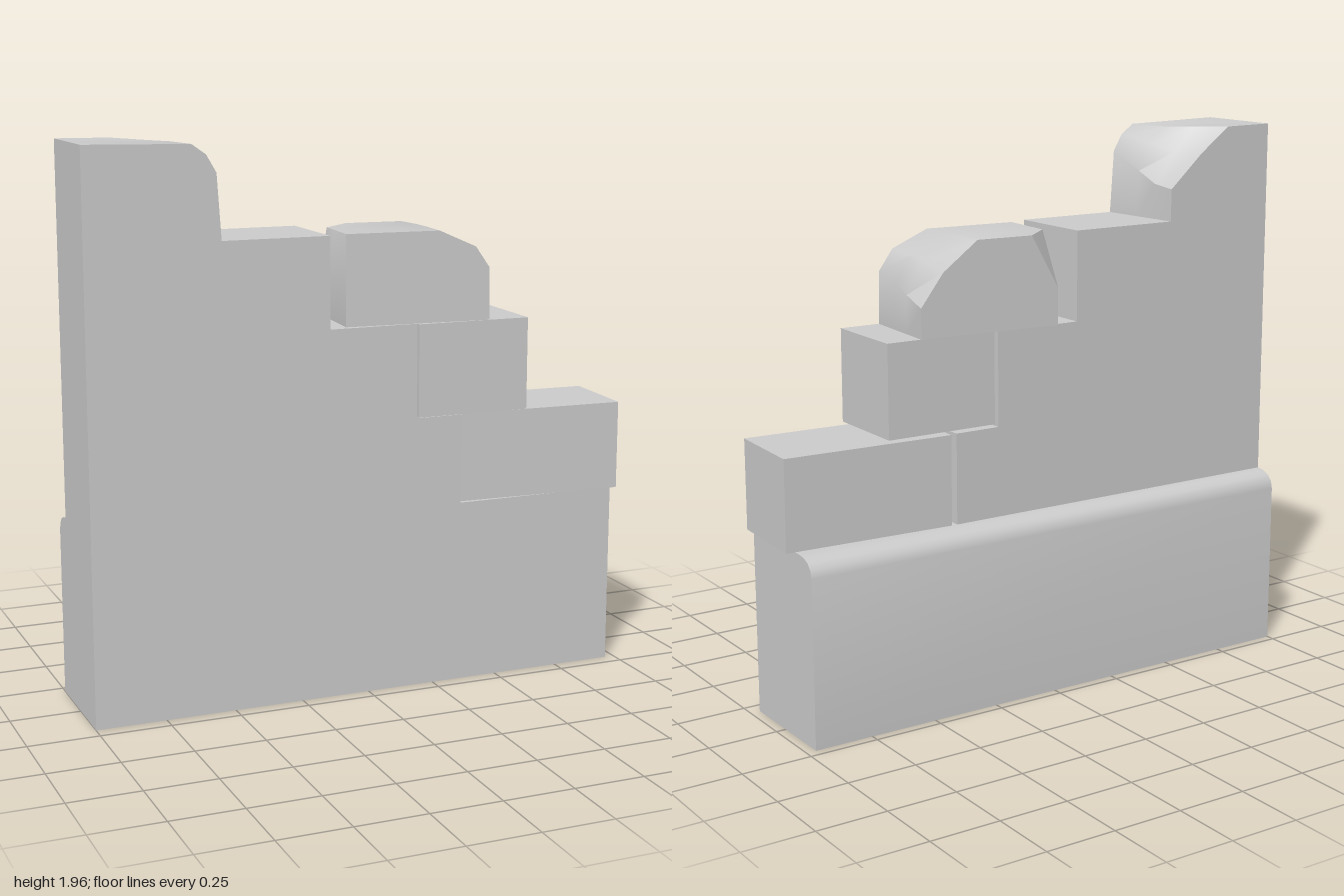
import * as THREE from 'three';
import { toCreasedNormals } from 'three/addons/utils/BufferGeometryUtils.js';

const material = new THREE.MeshStandardMaterial({ color: 0xcccccc });

function add(parent, name, geometry) {
  const mesh = new THREE.Mesh(geometry, material);
  mesh.name = name;
  parent.add(mesh);
  return mesh;
}

function extrude(points, depth) {
  const shape = new THREE.Shape(points.map(([x, y]) => new THREE.Vector2(x, y)));
  return new THREE.ExtrudeGeometry(shape, { depth, bevelEnabled: false });
}

// Solid through convex x-y sections, listed from front (+z) to back, points counter-clockwise
function loft(sections) {
  const pos = [];
  const put = (s, i) => pos.push(s.points[i][0], s.points[i][1], s.z);
  const n = sections[0].points.length;
  const first = sections[0], last = sections[sections.length - 1];
  for (let i = 1; i < n - 1; i++) {
    put(first, 0); put(first, i); put(first, i + 1);
    put(last, 0); put(last, i + 1); put(last, i);
  }
  for (let k = 0; k < sections.length - 1; k++) {
    const a = sections[k], b = sections[k + 1];
    for (let i = 0; i < n; i++) {
      const j = (i + 1) % n;
      put(a, i); put(b, i); put(b, j);
      put(a, i); put(b, j); put(a, j);
    }
  }
  const geometry = new THREE.BufferGeometry();
  geometry.setAttribute('position', new THREE.Float32BufferAttribute(pos, 3));
  return toCreasedNormals(geometry, 0.6);
}

function brick(parent, name, size, position, turn) {
  const mesh = add(parent, name, new THREE.BoxGeometry(...size));
  mesh.position.set(...position);
  mesh.rotation.y = turn;
}

export function createModel() {
  const model = new THREE.Group();
  model.name = 'brokenWall';
  const front = 0.197, back = -0.135;

  // Plinth with a rounded shoulder at the back, run along x
  const plinth = extrude([
    [-front, 0], [0.218, 0], [0.218, 0.595], [0.211, 0.622],
    [0.193, 0.643], [0.168, 0.654], [0.135, 0.658], [-front, 0.658],
  ], 1.965);
  plinth.rotateY(Math.PI / 2);
  plinth.translate(-1, 0, 0);
  add(model, 'plinth', toCreasedNormals(plinth, 0.6));

  // Stepped wall body
  const wall = extrude([
    [-1, 0.658], [0.355, 0.658], [0.355, 0.98], [0.185, 0.98],
    [0.185, 1.315], [-0.145, 1.315], [-0.145, 1.635], [-1, 1.635],
  ], front - back);
  wall.translate(0, 0, back);
  add(model, 'steppedWall', wall);

  // Top of the wall with its broken corner, wider at the back
  const topSection = (z, foot, ...chip) => ({
    z, points: [[-1, 1.635], [foot, 1.635], ...chip, [-1, 1.962]],
  });
  add(model, 'wallTop', loft([
    topSection(front, -0.53, [-0.545, 1.86], [-0.58, 1.92], [-0.63, 1.955]),
    topSection(0.05, -0.54, [-0.55, 1.80], [-0.60, 1.895], [-0.655, 1.955]),
    topSection(-0.04, -0.548, [-0.555, 1.76], [-0.64, 1.87], [-0.73, 1.957]),
    topSection(back, -0.555, [-0.556, 1.75], [-0.69, 1.87], [-0.81, 1.96]),
  ]));

  // Loose bricks on the steps
  brick(model, 'lowerBrick', [0.62, 0.32, 0.32], [0.68, 0.819, 0.037], -0.05);
  brick(model, 'middleBrick', [0.42, 0.33, 0.325], [0.393, 1.15, 0.052], -0.01);

  // Upper brick: right end worn round, back left corner chipped
  const brickSection = (z, chip, topLeft, left) => ({
    z, points: [[-0.265, 0], [0.265, 0], ...chip, topLeft, left],
  });
  const upper = add(model, 'upperBrick', loft([
    brickSection(0.163, [[0.262, 0.185], [0.21, 0.26], [0.075, 0.32]], [-0.264, 0.32], [-0.265, 0.318]),
    brickSection(0.02, [[0.265, 0.165], [0.215, 0.255], [0.075, 0.32]], [-0.264, 0.32], [-0.265, 0.318]),
    brickSection(-0.055, [[0.265, 0.135], [0.2, 0.25], [0.07, 0.32]], [-0.264, 0.32], [-0.265, 0.318]),
    brickSection(-0.163, [[0.265, 0.105], [0.18, 0.22], [0.05, 0.32]], [-0.16, 0.32], [-0.265, 0.13]),
  ]));
  upper.position.set(0.2, 1.315, 0.03);
  upper.rotation.y = -0.075;

  return model;
}
